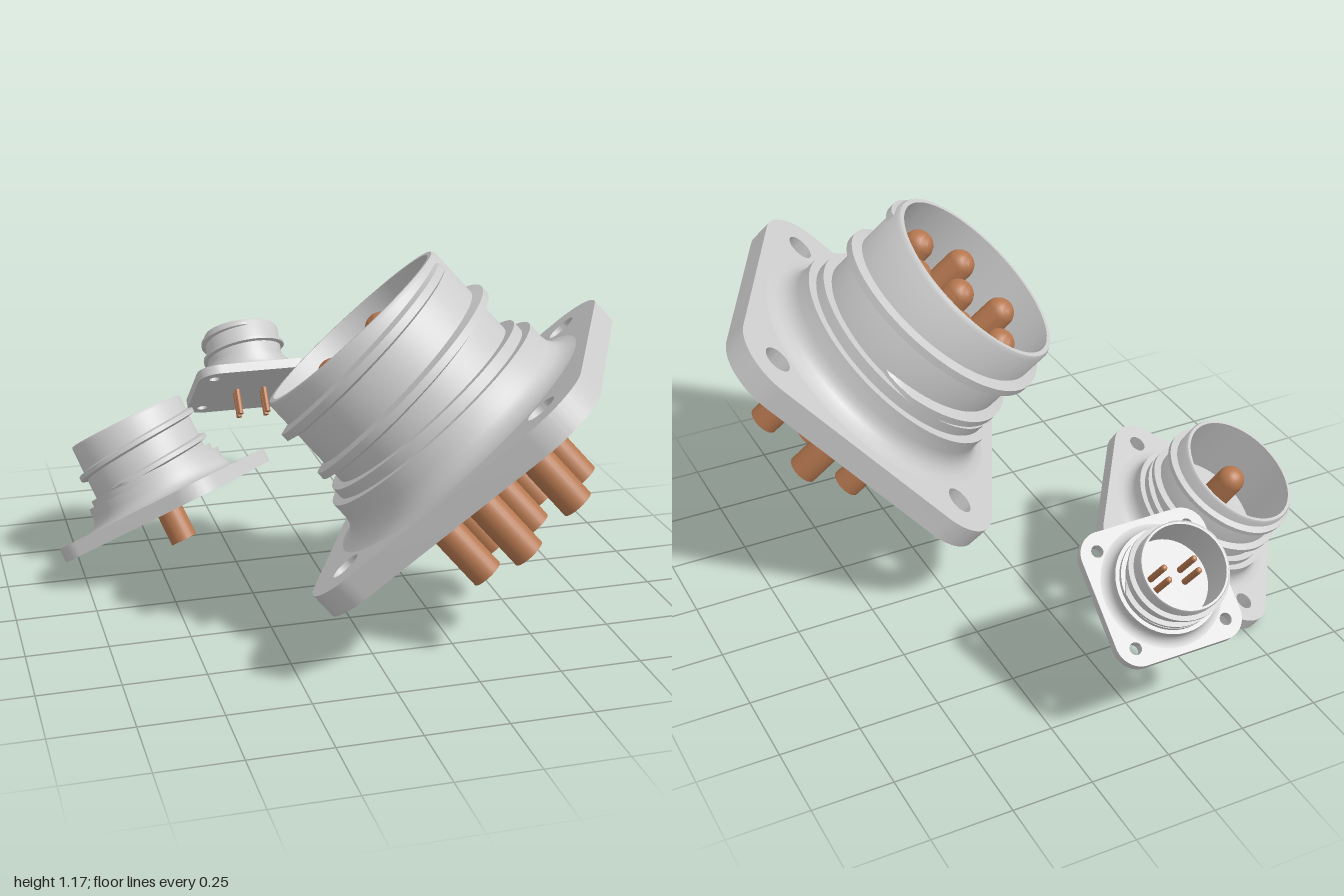
import * as THREE from 'three';
import { toCreasedNormals } from 'three/addons/utils/BufferGeometryUtils.js';

const metal = new THREE.MeshStandardMaterial({ color: 0xcccccc });
metal.name = 'light grey metal';
const copper = new THREE.MeshStandardMaterial({ color: 0xb5774f });
copper.name = 'copper';

function mesh(name, geometry, material) {
  const m = new THREE.Mesh(geometry, material);
  m.name = name;
  return m;
}

const lathe = (points, segments) => toCreasedNormals(
  new THREE.LatheGeometry(points.map(([r, y]) => new THREE.Vector2(r, y)), segments), 0.6);

// Square mounting plate with rounded corners and four screw holes
function plateGeometry() {
  const half = 0.507, r = 0.18, c = half - r, pitch = 0.369;
  const shape = new THREE.Shape();
  shape.absarc(c, c, r, 0, Math.PI / 2);
  shape.absarc(-c, c, r, Math.PI / 2, Math.PI);
  shape.absarc(-c, -c, r, Math.PI, Math.PI * 1.5);
  shape.absarc(c, -c, r, Math.PI * 1.5, Math.PI * 2);
  for (const x of [-pitch, pitch]) for (const y of [-pitch, pitch]) {
    const hole = new THREE.Path();
    hole.absarc(x, y, 0.046, 0, Math.PI * 2, true);
    shape.holes.push(hole);
  }
  const g = new THREE.ExtrudeGeometry(shape, { depth: 0.08, bevelEnabled: false, curveSegments: 16 });
  return toCreasedNormals(g.rotateX(-Math.PI / 2), 0.6);
}

// Hollow collar: fillet, two steps, thin wall, inner floor
function shellGeometry() {
  return lathe([
    [0.46, 0.08], [0.43, 0.086], [0.408, 0.102], [0.394, 0.125], [0.39, 0.15], [0.39, 0.2],
    [0.36, 0.2], [0.36, 0.235], [0.327, 0.235], [0.327, 0.535], [0.32, 0.547],
    [0.305, 0.547], [0.305, 0.2], [0, 0.2],
  ], 72);
}

// Helical thread: a trapezoid swept down the collar, fading out at both ends
function threadGeometry() {
  const steps = 130, turns = 1.8, top = 0.51, pitch = 0.155;
  const section = [[0, 0.022], [0.037, 0.012], [0.037, -0.012], [0, -0.022]];
  const pos = [], index = [];
  for (let i = 0; i <= steps; i++) {
    const t = i / steps, a = t * turns * Math.PI * 2;
    const fade = Math.min(1, 0.3 + i / 18, (steps - i) / 4) * (i ? 1 : 0);
    for (const [dr, dy] of section) {
      const r = 0.324 + dr * fade;
      pos.push(-Math.sin(a) * r, top - t * turns * pitch + dy, Math.cos(a) * r);
    }
    if (i === steps) break;
    for (let k = 0; k < 3; k++) {
      const p = i * 4 + k, q = p + 4;
      index.push(p, q, p + 1, p + 1, q, q + 1);
    }
  }
  const g = new THREE.BufferGeometry();
  g.setAttribute('position', new THREE.Float32BufferAttribute(pos, 3));
  g.setIndex(index);
  // Orient the faces outward
  const v = i => new THREE.Vector3().fromArray(pos, i * 3);
  const j = 4 * 40 + 1, n = v(j + 4).sub(v(j)).cross(v(j + 1).sub(v(j)));
  if (n.dot(v(j).setY(0)) < 0) {
    for (let i = 0; i < index.length; i += 3) [index[i], index[i + 1]] = [index[i + 1], index[i]];
    g.setIndex(index);
  }
  return toCreasedNormals(g, 0.5);
}

// Contact pin: flat tail below the plate, round tip inside the collar
function pinGeometry(r, tail, top) {
  const pts = [[0, -tail], [r, -tail]];
  for (let i = 0; i <= 8; i++) {
    const a = (i / 8) * Math.PI / 2;
    pts.push([Math.max(0, r * Math.cos(a)), top + r * Math.sin(a)]);
  }
  return lathe(pts, 24);
}

const plate = plateGeometry(), shell = shellGeometry(), thread = threadGeometry();

function connector({ name, size, at, axis, side, pin, pins }) {
  const g = new THREE.Group();
  g.name = name;
  g.add(mesh('mountingPlate', plate, metal), mesh('collar', shell, metal), mesh('thread', thread, metal));
  const geo = pinGeometry(...pin);
  for (const [x, z] of pins) {
    const m = mesh('contactPin', geo, copper);
    m.position.set(x, 0, z);
    g.add(m);
  }
  // Stand the connector along its axis
  const y = new THREE.Vector3(...axis).normalize();
  const x = y.clone().cross(new THREE.Vector3(...side)).normalize();
  g.quaternion.setFromRotationMatrix(new THREE.Matrix4().makeBasis(x, y, x.clone().cross(y)));
  g.position.set(...at);
  g.scale.setScalar(size);
  return g;
}

export function createModel() {
  const model = new THREE.Group();
  model.name = 'connectors';

  // Seven pins: one in the middle, six around it
  const seven = [[0, 0]];
  for (let i = 0; i < 6; i++) {
    const a = i * Math.PI / 3;
    seven.push([0.203 * Math.cos(a), 0.203 * Math.sin(a)]);
  }
  model.add(
    connector({
      name: 'largeConnector', size: 1, at: [0.332, 0.555, 0.433],
      axis: [-0.623, 0.722, -0.302], side: [0.647, 0.692, 0.32],
      pin: [0.05, 0.263, 0.46], pins: seven,
    }),
    connector({
      name: 'mediumConnector', size: 0.596, at: [-0.46, 0.192, -0.288],
      axis: [-0.35, 0.842, -0.41], side: [-0.754, -0.513, -0.41],
      pin: [0.073, 0.176, 0.46], pins: [[0, 0]],
    }),
    connector({
      name: 'smallConnector', size: 0.401, at: [-0.08, 0.414, -0.768],
      axis: [0, 0.785, -0.62], side: [0, 0.62, 0.785],
      pin: [0.023, 0.224, 0.47],
      pins: [[-0.12, -0.045], [-0.12, 0.045], [0.12, -0.045], [0.12, 0.045]],
    }),
  );
  return model;
}
